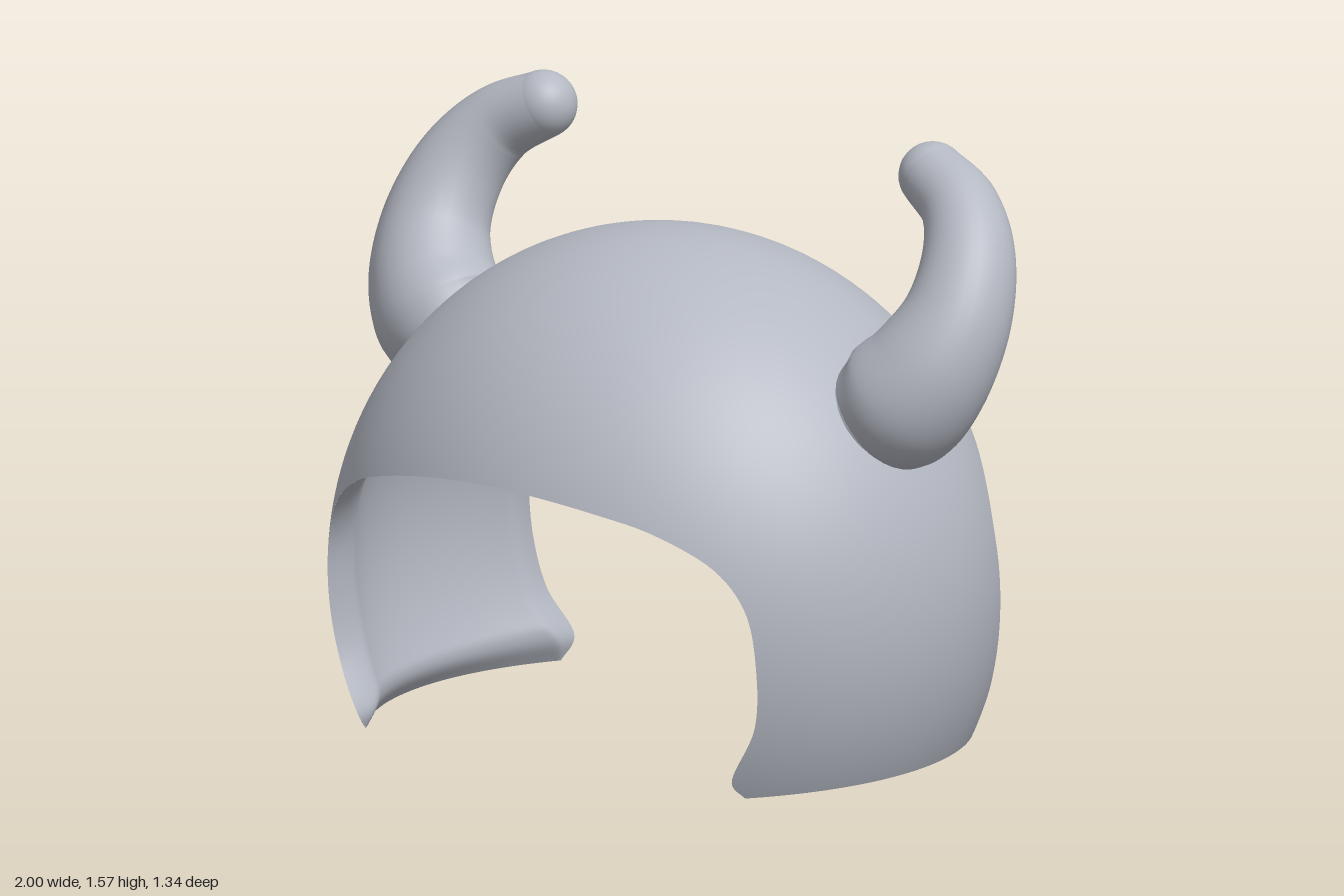
import * as THREE from 'three';
import { mergeVertices } from 'three/addons/utils/BufferGeometryUtils.js';

// The shell is a band of an ellipsoid between a front rim and a back rim
const CENTER = new THREE.Vector3(0, 0.42, -0.05);
const RADII = new THREE.Vector3(0.885, 0.89, 0.79);
const THICKNESS = 0.075;

// Rim outlines of one side as [z, y], from the lower corner up to the crown
const FRONT_RIM = [[0.37, 0.008], [0.41, 0.05], [0.405, 0.2], [0.42, 0.35], [0.44, 0.5], [0.48, 0.6],
  [0.56, 0.69], [0.62, 0.733], [0.67, 0.77]];
const BACK_RIM = [[-0.43, 0.045], [-0.475, 0.1], [-0.445, 0.22], [-0.43, 0.35], [-0.42, 0.5], [-0.415, 0.6],
  [-0.44, 0.7], [-0.5, 0.8], [-0.58, 0.89], [-0.67, 0.98]];

// Full rim curve on the unit sphere, running from -x over the crown to +x
function rimCurve(outline) {
  const side = outline.map(([z, y], i) => {
    const v = (y - CENTER.y) / RADII.y, w = (z - CENTER.z) / RADII.z;
    const x = i === outline.length - 1 ? 0 : Math.sqrt(Math.max(0, 1 - v * v - w * w));
    return new THREE.Vector3(x, v, w).normalize();
  });
  const mirrored = side.map((p) => new THREE.Vector3(-p.x, p.y, p.z));
  return new THREE.CatmullRomCurve3([...mirrored, ...side.slice(0, -1).reverse()], false, 'centripetal');
}

// Point on the unit sphere between the two rims
function spherePoint(f, b, t, s) {
  const angle = f.angleTo(b);
  const p = f.clone().multiplyScalar(Math.sin((1 - s) * angle))
    .addScaledVector(b, Math.sin(s * angle)).divideScalar(Math.sin(angle));
  // keep the lower edges straight as seen from the side
  const k = Math.pow(Math.abs(t), 4);
  const y = THREE.MathUtils.lerp(p.y, THREE.MathUtils.lerp(f.y, b.y, s), k);
  const z = THREE.MathUtils.lerp(p.z, THREE.MathUtils.lerp(f.z, b.z, s), k);
  return new THREE.Vector3(Math.sign(t) * Math.sqrt(Math.max(0, 1 - y * y - z * z)), y, z);
}

function shellGeometry(inner) {
  const NT = 140, NS = 56;
  const front = rimCurve(FRONT_RIM), back = rimCurve(BACK_RIM);
  const ease = (a) => 0.5 - 0.5 * Math.cos(Math.PI * a);
  const positions = [], index = [];
  for (let i = 0; i <= NT; i++) {
    const q = 0.5 * (ease(i / NT) + i / NT), t = 2 * q - 1;
    const f = front.getPointAt(q).normalize(), b = back.getPointAt(q).normalize();
    for (let j = 0; j <= NS; j++) {
      const s = ease(j / NS);
      const p = spherePoint(f, b, t, s);
      if (inner) {
        // wall thins out to a sharp edge at the rims
        const d = Math.min(Math.min(s, 1 - s) * 1.2, (1 - Math.abs(t)) * 1.7);
        p.multiplyScalar(1 - THICKNESS * Math.sqrt(THREE.MathUtils.smoothstep(d, -0.0001, 0.12)));
      }
      p.multiply(RADII).add(CENTER);
      positions.push(p.x, p.y, p.z);
    }
  }
  for (let i = 0; i < NT; i++) {
    for (let j = 0; j < NS; j++) {
      const a = i * (NS + 1) + j, b = a + NS + 1;
      if (inner) index.push(a, a + 1, b, b, a + 1, b + 1);
      else index.push(a, b, a + 1, b, b + 1, a + 1);
    }
  }
  const g = new THREE.BufferGeometry();
  g.setAttribute('position', new THREE.Float32BufferAttribute(positions, 3));
  g.setIndex(index);
  g.computeVertexNormals();
  return g;
}

// Horn path: x, y, z, radius
const HORN = [[0.69, 0.92, -0.06, 0.15], [0.755, 0.968, -0.075, 0.175], [0.82, 1.05, -0.105, 0.163],
  [0.862, 1.18, -0.165, 0.138], [0.84, 1.32, -0.235, 0.118], [0.765, 1.425, -0.29, 0.1],
  [0.645, 1.488, -0.322, 0.086]];

function hornGeometry(side) {
  const path = new THREE.CatmullRomCurve3(HORN.map(([x, y, z]) => new THREE.Vector3(side * x, y, z)));
  const radii = new THREE.CatmullRomCurve3(HORN.map((h, i) => new THREE.Vector3(h[3], i, 0)));
  const SEG = 60, SIDES = 32;
  const g = new THREE.TubeGeometry(path, SEG, 1, SIDES);
  const pos = g.attributes.position, p = new THREE.Vector3();
  // scale each ring about the path
  for (let i = 0; i <= SEG; i++) {
    const c = path.getPointAt(i / SEG);
    const r = radii.getPoint(path.getUtoTmapping(i / SEG)).x;
    for (let j = 0; j <= SIDES; j++) {
      const n = i * (SIDES + 1) + j;
      p.fromBufferAttribute(pos, n).sub(c).multiplyScalar(r).add(c);
      pos.setXYZ(n, p.x, p.y, p.z);
    }
  }
  g.deleteAttribute('uv');
  g.deleteAttribute('normal');
  const smooth = mergeVertices(g, 1e-5);
  smooth.computeVertexNormals();
  return smooth;
}

export function createModel() {
  const model = new THREE.Group();
  model.name = 'hornedHelmet';
  const steel = new THREE.MeshStandardMaterial({ color: 0xb4b8c2 });
  steel.name = 'paleSteel';

  const add = (parent, name, geometry) => {
    const mesh = new THREE.Mesh(geometry, steel);
    mesh.name = name;
    parent.add(mesh);
    return mesh;
  };

  add(model, 'outerShell', shellGeometry(false));
  add(model, 'innerShell', shellGeometry(true));

  // Horns with a round tip and a rounded root showing inside the shell
  for (const side of [1, -1]) {
    const horn = new THREE.Group();
    horn.name = side > 0 ? 'leftHorn' : 'rightHorn';
    add(horn, 'hornShaft', hornGeometry(side));
    for (const [name, [x, y, z, r]] of [['hornRoot', HORN[0]], ['hornTip', HORN[HORN.length - 1]]]) {
      add(horn, name, new THREE.SphereGeometry(r, 32, 20)).position.set(side * x, y, z);
    }
    model.add(horn);
  }
  return model;
}
